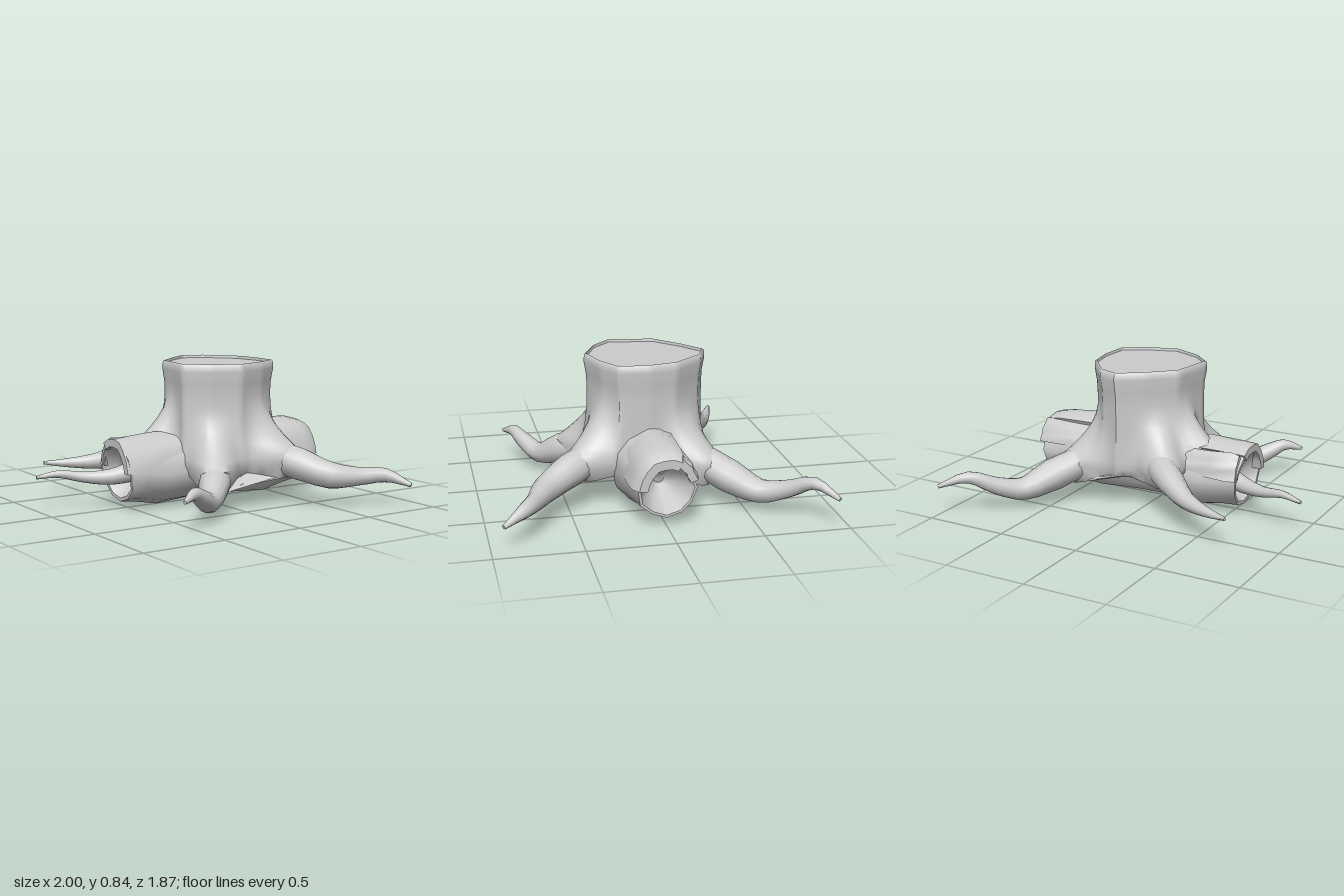
import * as THREE from 'three';
import { toCreasedNormals } from 'three/addons/utils/BufferGeometryUtils.js';

const material = new THREE.MeshStandardMaterial({ color: 0xcccccc });

// Skin a list of equal-length rings and close both ends with strips.
function loft(name, rings, crease = 0.85) {
  const n = rings[0].length, index = [];
  for (let i = 0; i < rings.length - 1; i++) {
    for (let j = 0; j < n; j++) {
      const a = i * n + j, b = i * n + (j + 1) % n;
      index.push(a, b, a + n, b, b + n, a + n);
    }
  }
  const end = (rings.length - 1) * n;
  for (let j = 0; j < n / 2 - 1; j++) {
    const a = j, b = j + 1, c = n - 2 - j, d = n - 1 - j;
    index.push(a, c, b, a, d, c);
    index.push(end + a, end + b, end + c, end + a, end + c, end + d);
  }
  const geometry = new THREE.BufferGeometry();
  geometry.setAttribute('position', new THREE.Float32BufferAttribute(rings.flat(2), 3));
  geometry.setIndex(index);
  const mesh = new THREE.Mesh(toCreasedNormals(geometry, crease), material);
  mesh.name = name;
  return mesh;
}

// Tapered root along [x, y, z, radius] stations.
function root(name, stations) {
  const curve = new THREE.CatmullRomCurve3(stations.map(s => new THREE.Vector3(s[0], s[1], s[2])));
  const steps = (stations.length - 1) * 3, sides = 12, rings = [];
  const up = new THREE.Vector3(0, 1, 0);
  for (let i = 0; i <= steps; i++) {
    const t = i / steps, p = curve.getPoint(t), d = curve.getTangent(t);
    const v = new THREE.Vector3().crossVectors(d, up).normalize();
    const u = new THREE.Vector3().crossVectors(v, d);
    const k = Math.min(Math.floor(i / 3), stations.length - 2);
    const r = THREE.MathUtils.lerp(stations[k][3], stations[k + 1][3], i / 3 - k);
    rings.push(Array.from({ length: sides }, (_, j) => {
      const a = j / sides * Math.PI * 2;
      return p.clone().addScaledVector(u, Math.cos(a) * r).addScaledVector(v, Math.sin(a) * r).toArray();
    }));
  }
  return loft(name, rings, 1.2);
}

// Many-sided trunk whose sides sweep out into the four big roots and a spur over the log.
function stump() {
  const outline = [[0.08, 0.34], [0.27, 0.28], [0.4, 0.2], [0.41, 0.02], [0.38, -0.14], [0.24, -0.31],
    [0.12, -0.36], [-0.02, -0.26], [-0.17, -0.12], [-0.21, 0.15], [-0.1, 0.26]];
  const points = outline.flatMap(([x, z], i) => {
    const [x2, z2] = outline[(i + 1) % outline.length];
    return [0, 1, 2, 3, 4, 5, 6, 7].map(t => [x + (x2 - x) * t / 8 - 0.1, z + (z2 - z) * t / 8]);
  });
  // direction, angular width, height offset, drop of the underside
  const flares = [[0.55, 0.36, 0, 0.05], [-0.56, 0.34, -0.07, 0.11], [2.3, 0.36, -0.05, 0.1],
    [-2.38, 0.33, -0.02, 0.04], [-1.69, 0.22, 0.04, 0]];
  // height, scale
  const levels = [[0.2, 0.95], [0.24, 0.99], [0.28, 0.99], [0.32, 0.99], [0.36, 0.985], [0.4, 0.98], [0.45, 0.98],
    [0.5, 0.98], [0.56, 0.98], [0.63, 0.98], [0.71, 0.99], [0.79, 1.03], [0.83, 1.02], [0.837, 0.99], [0.82, 0.98]];
  return loft('stump', levels.map(([y, s], level) => points.map(([x, z]) => {
    const a = Math.atan2(x, z), r = Math.hypot(x, z);
    let out = 0, drop = 0;
    for (const [b, width, lift, low] of flares) {
      const d = Math.atan2(Math.sin(a - b), Math.cos(a - b));
      const weight = Math.exp(-((d / width) ** 2));
      out += 0.25 * weight * THREE.MathUtils.clamp((0.62 + lift - y) / 0.31, 0, 1) ** 1.6;
      drop += level === 0 ? low * weight : 0;
    }
    const k = s + out * (level === 0 ? 0.75 : 1) / r;
    return [0.1 + x * k, y - drop, z * k];
  })), 1);
}

// Fallen log with a tapering hollow at each end: x, radius, centre height, centre z.
function log() {
  const stations = [[-0.46, 0.04, 0.21, 0], [-0.5, 0.11, 0.21, 0], [-0.575, 0.16, 0.215, 0], [-0.575, 0.18, 0.215, 0],
    [-0.47, 0.185, 0.21, 0], [-0.33, 0.2, 0.2, 0], [-0.1, 0.2, 0.215, 0], [0.1, 0.2, 0.215, 0.01], [0.4, 0.22, 0.22, 0.03],
    [0.58, 0.19, 0.215, 0.01], [0.76, 0.17, 0.215, 0], [0.76, 0.155, 0.215, 0], [0.64, 0.1, 0.215, 0], [0.54, 0.03, 0.2, 0]];
  const sides = 12;
  return loft('log', stations.map(([x, r, y, z]) => Array.from({ length: sides }, (_, j) => {
    const a = j / sides * Math.PI * 2;
    const k = r * (1 + 0.03 * Math.sin(j * 2.6 + x * 5));
    const slant = (x < 0 ? -0.025 : 0.01) * Math.cos(a);
    return [x + slant, y + Math.cos(a) * k, z + Math.sin(a) * k];
  })));
}

// Curved bark slab wrapped over the log: stations of x, inner radius, outer radius.
function bark(name, from, to, stations) {
  const m = 7;
  const arc = (x, r, i) => {
    const a = THREE.MathUtils.degToRad(from + (to - from) * i / (m - 1));
    const k = r * (1 + 0.025 * Math.sin(i * 2.3 + x * 9));
    return [x, 0.215 + Math.cos(a) * k, Math.sin(a) * k * 0.87];
  };
  return loft(name, stations.map(([x, inner, outer]) => [
    ...Array.from({ length: m }, (_, i) => arc(x, outer, i)),
    ...Array.from({ length: m }, (_, i) => arc(x, inner, m - 1 - i)),
  ]));
}

export function createModel() {
  const model = new THREE.Group();
  model.name = 'stumpOnLog';
  model.add(stump(), log());

  // Bark on both ends of the log
  model.add(bark('leftBark', -30, 88, [[0.3, 0.15, 0.235], [0.5, 0.15, 0.24], [0.68, 0.15, 0.23], [0.75, 0.14, 0.215], [0.79, 0.13, 0.185]]));
  model.add(bark('leftBackBark', -75, -28, [[0.3, 0.15, 0.21], [0.55, 0.15, 0.21], [0.74, 0.15, 0.215], [0.785, 0.15, 0.2]]));
  model.add(bark('rightBark', -38, 88, [[-0.6, 0.15, 0.197], [-0.5, 0.15, 0.205], [-0.36, 0.16, 0.212], [-0.15, 0.16, 0.212]]));
  model.add(bark('rightBackBark', -85, -42, [[-0.575, 0.16, 0.215], [-0.53, 0.16, 0.24], [-0.4, 0.16, 0.225], [-0.2, 0.16, 0.215]]));

  // Big roots, starting inside the trunk's flare
  model.add(root('frontLeftRoot', [[0.27, 0.29, 0.27, 0.07], [0.33, 0.27, 0.37, 0.095], [0.4, 0.235, 0.49, 0.098],
    [0.51, 0.18, 0.64, 0.08], [0.66, 0.17, 0.72, 0.055], [0.8, 0.175, 0.8, 0.043], [0.89, 0.125, 0.925, 0.013]]));
  model.add(root('frontRightRoot', [[-0.05, 0.24, 0.24, 0.07], [-0.11, 0.21, 0.34, 0.09], [-0.19, 0.165, 0.45, 0.092],
    [-0.31, 0.1, 0.575, 0.062], [-0.42, 0.15, 0.66, 0.05], [-0.5, 0.19, 0.71, 0.036], [-0.6, 0.165, 0.77, 0.01]]));
  model.add(root('backLeftRoot', [[0.32, 0.27, -0.21, 0.07], [0.41, 0.23, -0.31, 0.095], [0.52, 0.17, -0.43, 0.098],
    [0.63, 0.11, -0.58, 0.07], [0.73, 0.15, -0.71, 0.053], [0.85, 0.22, -0.83, 0.036], [0.995, 0.17, -0.93, 0.012]]));
  model.add(root('backRightRoot', [[-0.08, 0.3, -0.22, 0.07], [-0.16, 0.28, -0.3, 0.09], [-0.27, 0.245, -0.39, 0.08],
    [-0.42, 0.195, -0.49, 0.052], [-0.58, 0.185, -0.57, 0.03], [-0.73, 0.19, -0.63, 0.01]]));

  // Thin root out of the log end
  model.add(root('logRoot', [[-0.42, 0.21, -0.01, 0.065], [-0.58, 0.175, -0.06, 0.048], [-0.73, 0.18, -0.12, 0.032],
    [-0.87, 0.205, -0.165, 0.022], [-0.995, 0.19, -0.2, 0.01]]));
  return model;
}
